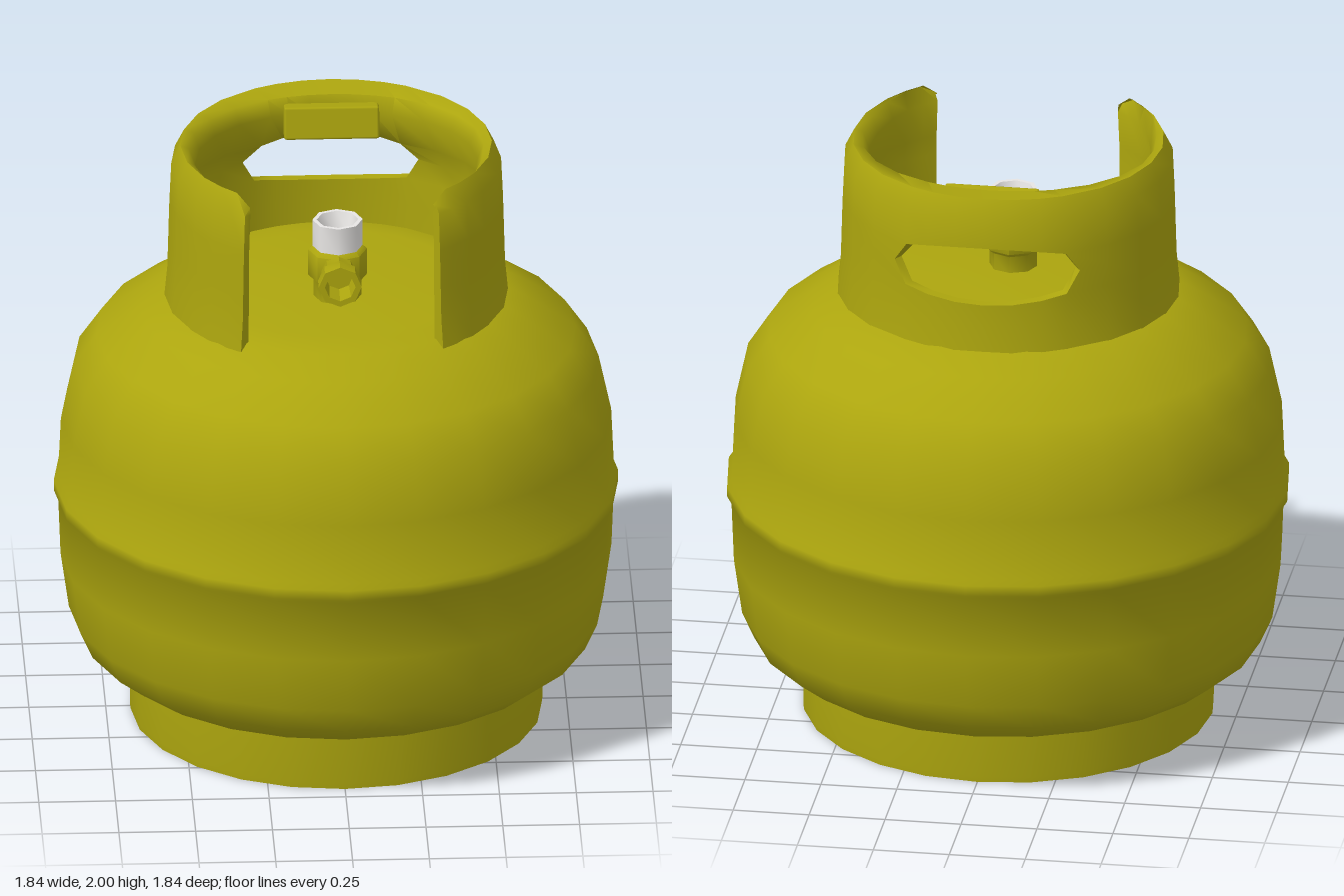
import * as THREE from 'three';
import { toCreasedNormals } from 'three/addons/utils/BufferGeometryUtils.js';
import { RoundedBoxGeometry } from 'three/addons/geometries/RoundedBoxGeometry.js';

const olive = new THREE.MeshStandardMaterial({ color: 0xaca50e });
olive.name = 'olive paint';
const white = new THREE.MeshStandardMaterial({ color: 0xe8e6e4 });
white.name = 'white cap';

function lathe(name, profile, sides, material, crease = 0.7) {
  const pts = profile.map(([r, y]) => new THREE.Vector2(r, y));
  const geo = new THREE.LatheGeometry(pts, sides);
  const mesh = new THREE.Mesh(toCreasedNormals(geo, crease), material);
  mesh.name = name;
  return mesh;
}

// Curved guard wall with a rolled rim and a hand hole at the back.
// Angles run from the back (0) to the two front ends (144 degrees).
function collarGeometry() {
  const half = [10, 20, 29, 45, 60, 75, 90, 105, 120, 130, 138, 144];
  const angles = [...half.map((a) => -a).reverse(), 0, ...half];
  const last = angles.length - 1;
  const h0 = angles.indexOf(-29), h1 = angles.indexOf(29);
  const rows = 14;
  const pos = [], index = [];

  angles.forEach((deg) => {
    const a = Math.abs(deg);
    const back = Math.max(0, Math.cos(THREE.MathUtils.degToRad(a))) ** 2;
    const edge = Math.min(a / 29, 1) ** 2;
    const low = 1.64 + 0.03 * edge, high = 1.84 - 0.03 * edge;
    const fade = THREE.MathUtils.smoothstep(a, 95, 144);
    const lip = 0.46 - 0.07 * back + 0.045 * fade;
    const grip = 0.512 - 0.06 * back;
    const section = [
      [0.56, 1.465], [0.55, 1.57], [0.547, low], [0.545, 1.745], [0.543, high], [0.537, 1.94], [0.507, 2],
      [lip + 0.02, 1.99], [lip, 1.935], [grip, high], [0.512, 1.745], [0.512, low], [0.515, 1.57], [0.515, 1.465],
    ];
    section.forEach(([r, y], j) => {
      // Pointed ends of the hand hole
      const push = a === 29 && (j === 3 || j === 10) ? 5 * Math.sign(deg) : 0;
      const t = THREE.MathUtils.degToRad(deg + push);
      // Rounded upper corners of the front ends
      const top = a === 144 ? Math.min(y, 1.96) : y;
      pos.push(r * Math.sin(t), top, 0.012 - r * Math.cos(t));
    });
  });

  const id = (i, j) => i * rows + j;
  const quad = (a, b, c, d) => index.push(a, b, c, a, c, d);
  // Strip joining the outer skin to the inner skin along one edge
  const rim = (i, j, k, l) => quad(id(i, j), id(k, l), id(k, rows - 1 - l), id(i, rows - 1 - j));

  for (let i = 0; i < last; i++) {
    const inHole = i >= h0 && i < h1;
    for (let j = 0; j < rows - 1; j++) {
      if (inHole && [2, 3, 9, 10].includes(j)) continue;
      quad(id(i, j), id(i, j + 1), id(i + 1, j + 1), id(i + 1, j));
    }
    if (inHole) {
      rim(i, 4, i + 1, 4);
      rim(i + 1, 2, i, 2);
    }
  }
  for (const j of [2, 3]) {
    rim(h0, j, h0, j + 1);
    rim(h1, j + 1, h1, j);
  }
  for (let j = 0; j < 6; j++) {
    rim(0, j + 1, 0, j);
    rim(last, j, last, j + 1);
  }

  const geo = new THREE.BufferGeometry();
  geo.setAttribute('position', new THREE.Float32BufferAttribute(pos, 3));
  geo.setIndex(index);
  return toCreasedNormals(geo, 1.1);
}

export function createModel() {
  const model = new THREE.Group();
  model.name = 'gasCylinder';

  // Tank with a weld bead around the middle
  model.add(lathe('tank', [
    [0, 0.17], [0.4, 0.17], [0.66, 0.18], [0.74, 0.2], [0.83, 0.27], [0.87, 0.36], [0.897, 0.55], [0.905, 0.76],
    [0.919, 0.775], [0.919, 0.81], [0.905, 0.83], [0.896, 1.03], [0.855, 1.22], [0.78, 1.33],
    [0.64, 1.425], [0.54, 1.485], [0.42, 1.495], [0.2, 1.505], [0, 1.51],
  ], 24, olive, 0.9));

  // Foot ring, open underneath
  const foot = lathe('footRing', [
    [0.61, 0.19], [0.61, 0.04], [0.635, 0.005], [0.67, 0], [0.672, 0.02], [0.672, 0.19],
  ], 24, olive, 0.8);
  foot.position.z = 0.018;
  model.add(foot);

  const collar = new THREE.Mesh(collarGeometry(), olive);
  collar.name = 'collar';
  model.add(collar);

  // Pad on the inside of the carrying handle
  const pad = new THREE.Mesh(new RoundedBoxGeometry(0.31, 0.11, 0.06, 1, 0.008), olive);
  pad.name = 'handlePad';
  pad.position.set(0, 1.918, -0.345);
  pad.rotation.x = -0.15;
  model.add(pad);

  // Valve: stem, forward outlet and open white cap
  const valve = new THREE.Group();
  valve.name = 'valve';
  valve.position.set(0, 0, 0.115);
  valve.add(lathe('valveStem', [
    [0.078, 1.49], [0.078, 1.565], [0.096, 1.58], [0.096, 1.67], [0.08, 1.685], [0, 1.685],
  ], 8, olive, 0.9));
  const outlet = lathe('valveOutlet', [
    [0.055, 0], [0.055, 0.12], [0.07, 0.15], [0.07, 0.205], [0.05, 0.205], [0.045, 0.12], [0, 0.12],
  ], 8, olive, 0.5);
  outlet.rotation.x = Math.PI / 2;
  outlet.position.y = 1.625;
  valve.add(outlet);
  valve.add(lathe('valveCap', [
    [0.082, 1.67], [0.082, 1.775], [0.068, 1.775], [0.05, 1.71], [0, 1.7],
  ], 8, white, 0.9));
  model.add(valve);

  return model;
}
